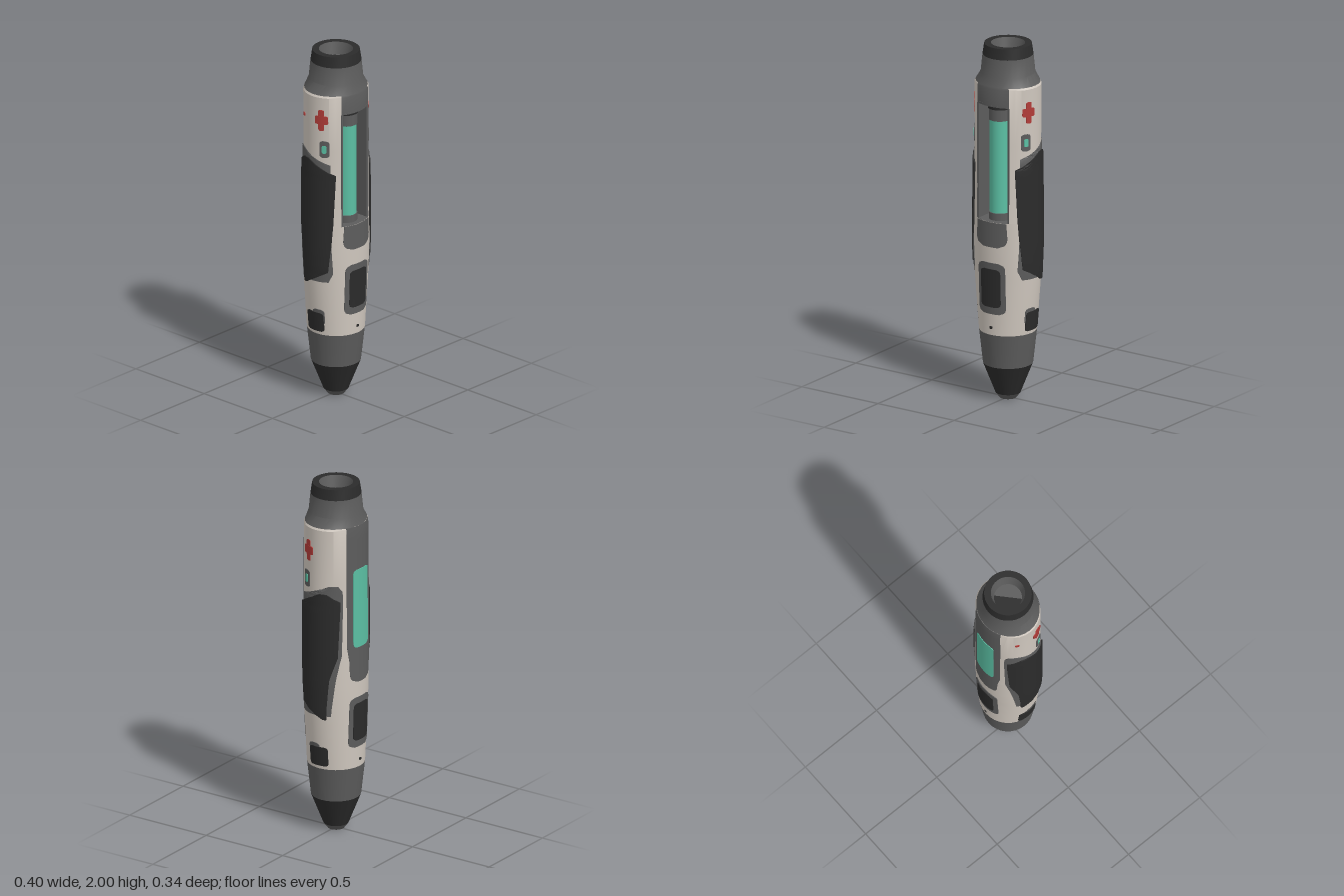
import * as THREE from 'three';
import { toCreasedNormals } from 'three/addons/utils/BufferGeometryUtils.js';

const mat = (name, color, side = THREE.FrontSide) => {
  const m = new THREE.MeshStandardMaterial({ color, side });
  m.name = name;
  return m;
};

// Half width (x) and half depth (z) of the body at each height
const PROFILE = [
  [0.0, 0.045, 0.045], [0.03, 0.068, 0.068], [0.2, 0.135, 0.135], [0.39, 0.156, 0.156],
  [0.72, 0.187, 0.163], [0.88, 0.191, 0.168], [1.1, 0.19, 0.166], [1.35, 0.188, 0.165],
  [1.47, 0.184, 0.165], [1.78, 0.187, 0.165], [1.84, 0.147, 0.147], [1.94, 0.137, 0.137], [2.0, 0.128, 0.128],
];
const SLOT = 0.585; // half angle of the front opening
const SLOT_LOW = 1.03, SLOT_HIGH = 1.68, SLOT_FLOOR = 0.02;

function radii(y) {
  let i = 0;
  while (i < PROFILE.length - 2 && y > PROFILE[i + 1][0]) i++;
  const [a, b] = [PROFILE[i], PROFILE[i + 1]];
  const t = (y - a[0]) / (b[0] - a[0]);
  return [a[1] + (b[1] - a[1]) * t, a[2] + (b[2] - a[2]) * t];
}
// Point on the body: angle 0 faces +z, and grows towards +x
function onBody(a, y, off = 0) {
  const [rx, rz] = radii(y);
  return [(rx + off) * Math.sin(a), y, (rz + off) * Math.cos(a)];
}

// Surface through equal rows of points
function skin(rows, crease = 0.5) {
  const n = rows[0].length, index = [];
  for (let j = 0; j < rows.length - 1; j++)
    for (let i = 0; i < n - 1; i++) {
      const p = j * n + i;
      index.push(p, p + 1, p + n + 1, p, p + n + 1, p + n);
    }
  const g = new THREE.BufferGeometry();
  g.setAttribute('position', new THREE.Float32BufferAttribute(rows.flat(2), 3));
  g.setIndex(index);
  return toCreasedNormals(g, crease);
}

// Band of the body between two heights and two angles
function band(y0, y1, a0 = 0, a1 = Math.PI * 2) {
  const ys = [y0, ...PROFILE.map(p => p[0]).filter(y => y > y0 + 1e-4 && y < y1 - 1e-4), y1];
  const n = Math.max(2, Math.round((a1 - a0) / (Math.PI * 2) * 32));
  return skin(ys.map(y => Array.from({ length: n + 1 }, (_, i) => onBody(a0 + (a1 - a0) * i / n, y))));
}

// Round surface from [radius, y] pairs
const turned = path => skin(path.map(([r, y]) =>
  Array.from({ length: 33 }, (_, i) => [r * Math.sin(i * Math.PI / 16), y, r * Math.cos(i * Math.PI / 16)])));

// Thin plate that follows the body; rows are [y, edge, other edge], low to high
function plate(rows, face, off) {
  const toAngle = {
    front: (s, r) => Math.asin(s / r[0]),
    back: (s, r) => Math.PI - Math.asin(s / r[0]),
    left: (s, r) => Math.acos(s / r[1]),
    right: (s, r) => -Math.acos(s / r[1]),
  }[face];
  const out = [], cols = 10;
  const line = (y, s, t, o) => {
    const r = radii(y);
    const [a, b] = [toAngle(s, r), toAngle(t, r)].sort((p, q) => p - q);
    const pts = Array.from({ length: cols + 1 }, (_, i) => onBody(a + (b - a) * i / cols, y, o));
    return [onBody(a, y, 0), ...pts, onBody(b, y, 0)];
  };
  out.push(line(...rows[0], 0));
  rows.forEach(([y, s, t], k) => {
    out.push(line(y, s, t, off));
    if (k === rows.length - 1) return;
    const [y2, s2, t2] = rows[k + 1];
    const steps = Math.ceil((y2 - y) / 0.04);
    for (let i = 1; i < steps; i++) {
      const f = i / steps;
      out.push(line(y + (y2 - y) * f, s + (s2 - s) * f, t + (t2 - t) * f, off));
    }
  });
  out.push(line(...rows[rows.length - 1], 0));
  return skin(out, 0.6);
}
// Rows of a rounded rectangle
function rounded(c, hw, y0, y1, r) {
  const half = [0, 0.3, 0.6, 1].map(t => [t * r, hw - r + r * Math.sqrt(1 - (1 - t) ** 2)]);
  return [...half.map(([d, w]) => [y0 + d, c - w, c + w]),
    ...half.reverse().map(([d, w]) => [y1 - d, c - w, c + w])];
}

export function createModel() {
  const group = new THREE.Group();
  const white = mat('shellWhite', 0xcfc7be), grey = mat('midGrey', 0x5c5c5c);
  const black = mat('darkGrey', 0x2b2b2b), teal = mat('teal', 0x5bbfa3), red = mat('red', 0xb23c38);
  const add = (name, geometry, material, x = 0, y = 0, z = 0) => {
    const m = new THREE.Mesh(geometry, material);
    m.name = name;
    m.position.set(x, y, z);
    group.add(m);
    return m;
  };

  // Body from bottom to top
  add('tipEnd', turned([[0.0005, 0], [0.045, 0], [0.068, 0.03]]), grey);
  add('tip', band(0.03, 0.2), black);
  add('lowerBand', band(0.2, 0.39), grey);
  add('lowerShell', band(0.39, SLOT_LOW), white);
  add('upperShell', band(SLOT_LOW, 1.79, SLOT, Math.PI * 2 - SLOT), white);
  add('slotBridge', band(SLOT_HIGH, 1.79, -SLOT, SLOT), grey);
  add('neck', band(1.79, 1.94), grey);
  add('topCap', turned([[0.137, 1.94], [0.128, 2], [0.092, 2]]), black);
  add('socketWall', turned([[0.092, 2], [0.075, 1.93]]), grey);
  add('socketFloor', new THREE.CircleGeometry(0.076, 24).rotateX(-Math.PI / 2), black, 0, 1.931);
  add('socketFlap', new THREE.CircleGeometry(0.075, 16, -2.4, Math.PI).rotateX(-Math.PI / 2), grey, 0, 1.934);

  // Front slot: walls, floor and end shelves
  const [sx, , sz] = onBody(SLOT, 1.3);
  const height = SLOT_HIGH - SLOT_LOW, mid = (SLOT_HIGH + SLOT_LOW) / 2;
  for (const s of [-1, 1])
    add('slotWall', new THREE.BoxGeometry(0.012, height, sz - SLOT_FLOOR), grey, s * (sx - 0.004), mid, (sz + SLOT_FLOOR) / 2);
  add('slotFloor', new THREE.BoxGeometry(sx * 2, height, 0.01), grey, 0, mid, SLOT_FLOOR);
  const shelf = new THREE.Shape();
  shelf.moveTo(sx, SLOT_FLOOR);
  for (let i = 8; i >= -8; i--) {
    const p = onBody(SLOT * i / 8, 1.3);
    shelf.lineTo(p[0], p[2]);
  }
  shelf.lineTo(-sx, SLOT_FLOOR);
  const shelfGeo = new THREE.ExtrudeGeometry(shelf, { depth: 0.01, bevelEnabled: false }).rotateX(Math.PI / 2);
  add('slotLowerShelf', shelfGeo, grey, 0, SLOT_LOW);
  add('slotUpperShelf', shelfGeo, grey, 0, SLOT_HIGH + 0.01);

  // Glass vial with its holders
  const vial = (name, r, y0, y1, m) =>
    add(name, new THREE.CylinderGeometry(r, r, y1 - y0, 24), m, 0, (y0 + y1) / 2, 0.075);
  vial('vial', 0.055, 1.07, 1.59, teal);
  vial('vialLowerHolder', 0.06, 1.03, 1.07, grey);
  vial('vialUpperHolder', 0.06, 1.59, 1.66, grey);
  vial('vialUpperRing', 0.065, 1.655, 1.68, black);

  // Front lip below the slot
  add('slotLip', plate([...rounded(0, 0.098, 0.89, 1.1, 0.05).slice(0, 4), [1.029, -0.092, 0.092]], 'front', 0.004), grey);

  // Back panel with window
  add('backPanel', plate([...rounded(0, 0.085, 0.89, 1.2, 0.05).slice(0, 4), [1.02, -0.088, 0.088],
    [1.1, -0.1, 0.1], [1.79, -0.1, 0.1]], 'back', 0.003), grey);
  add('backWindow', plate(rounded(0, 0.065, 1.09, 1.54, 0.025), 'back', 0.006), teal);

  // Buttons and small dots
  for (const face of ['front', 'back']) {
    add(face + 'ButtonFrame', plate(rounded(0, 0.085, 0.51, 0.8, 0.035), face, 0.004), grey);
    add(face + 'Button', plate(rounded(0, 0.06, 0.55, 0.765, 0.022), face, 0.008), black);
    add(face + 'Dot', plate(rounded(0, 0.008, 0.425, 0.44, 0.004), face, 0.003), black);
  }

  // Side grips and markings; edges given in z
  for (const face of ['left', 'right']) {
    add(face + 'GripTrim', plate([[0.71, -0.08, 0.09], [0.76, -0.085, 0.11], [0.93, -0.105, 0.105], [1.06, -0.125, 0.1],
      [1.39, -0.128, 0.1], [1.43, -0.125, 0], [1.46, -0.11, -0.07]], face, 0.004), grey);
    add(face + 'Grip', plate([[0.69, -0.058, -0.04], [0.77, -0.062, 0.09], [0.92, -0.075, 0.105], [1.05, -0.11, 0.112],
      [1.33, -0.118, 0.12], [1.37, -0.118, 0.06], [1.415, -0.06, -0.02]], face, 0.01), black);
    add(face + 'LowerTrim', plate(rounded(0.025, 0.036, 0.45, 0.54, 0.02), face, 0.003), grey);
    add(face + 'LowerPad', plate(rounded(0, 0.055, 0.41, 0.52, 0.015), face, 0.006), black);
    add(face + 'LampFrame', plate(rounded(0.07, 0.024, 1.435, 1.53, 0.015), face, 0.004), grey);
    add(face + 'Lamp', plate(rounded(0.07, 0.011, 1.46, 1.505, 0.008), face, 0.007), teal);
    add(face + 'CrossUpright', plate(rounded(0.055, 0.015, 1.59, 1.71, 0.008), face, 0.004), red);
    add(face + 'CrossBar', plate(rounded(0.055, 0.034, 1.628, 1.675, 0.008), face, 0.0045), red);
  }
  add('smallRedMark', plate(rounded(-0.075, 0.01, 1.64, 1.66, 0.006), 'right', 0.004), red);

  return group;
}
